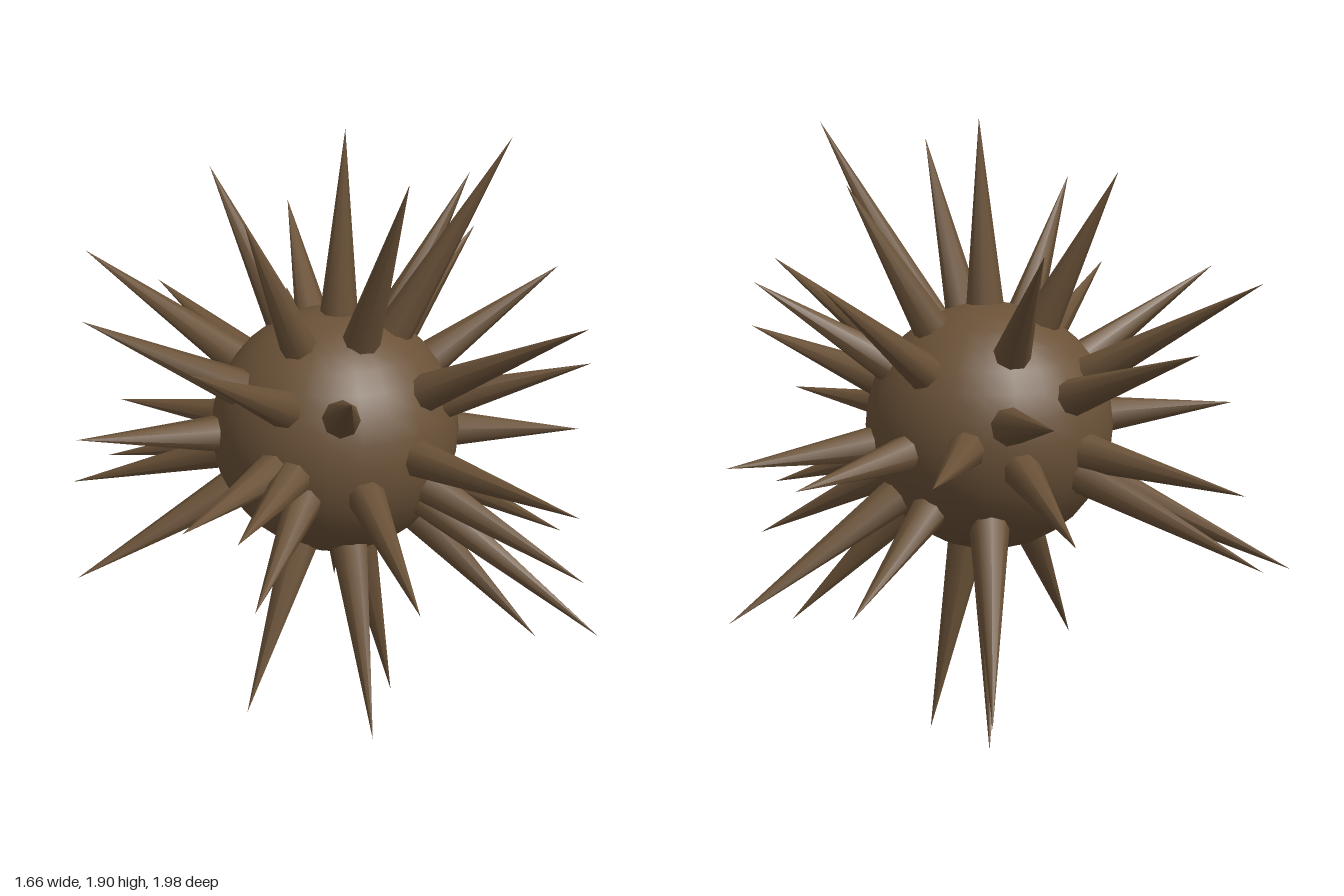
import * as THREE from 'three';

const CENTRE = new THREE.Vector3(-0.015, 0.955, -0.02);
const BODY_RADIUS = 0.385;

// Tip position of every spine
const TIPS = [
  // crown
  [0, 1.9, 0.01], [0.315, 1.89, 0.39], [-0.145, 1.83, 0.425], [-0.175, 1.745, -0.41],
  [0.455, 1.71, 0.09], [-0.465, 1.71, 0.09], [0.285, 1.53, -0.57],
  // upper ring
  [0.745, 1.44, -0.155], [0.635, 1.42, 0.31], [0.17, 1.435, 0.83], [-0.55, 1.33, 0.62],
  [-0.835, 1.4, 0.29], [-0.8, 1.42, -0.24], [-0.36, 1.43, -0.82], [0.39, 1.24, 0.66],
  [-0.03, 1.255, -0.87], [0.55, 1.11, -0.88],
  // middle ring
  [0.67, 0.92, -0.535], [0.8, 0.865, -0.095], [0.725, 0.86, 0.345], [-0.03, 0.965, 0.99],
  [-0.83, 0.915, 0.23], [-0.73, 0.89, 0.35], [-0.73, 0.995, -0.395],
  [-0.16, 0.845, -0.935], [0.395, 0.76, -0.81],
  // lower ring
  [-0.445, 0.73, 0.785], [-0.73, 0.705, 0.42], [0.15, 0.67, 0.87], [0.19, 0.495, 0.9],
  [-0.18, 0.63, -0.99], [-0.37, 0.6, -0.935], [-0.72, 0.52, -0.44],
  [0.635, 0.47, -0.14], [0.825, 0.425, 0.205], [0.36, 0.295, 0.51],
  // underside
  [0.48, 0.21, -0.57], [0.455, 0.135, -0.53], [-0.275, 0.135, 0.425],
  [-0.495, 0.18, 0.1], [0.17, 0.0, 0.05],
];

// Tapered cone from just inside the body to its tip
function makeSpine(tip, material) {
  const dir = new THREE.Vector3(...tip).sub(CENTRE);
  const reach = dir.length();
  dir.normalize();
  const base = 0.335;
  const geometry = new THREE.ConeGeometry(0.062, reach - base, 8, 1);
  geometry.translate(0, (reach + base) / 2, 0);
  const spine = new THREE.Mesh(geometry, material);
  spine.quaternion.setFromUnitVectors(new THREE.Vector3(0, 1, 0), dir);
  spine.position.copy(CENTRE);
  spine.name = 'spine';
  return spine;
}

export function createModel() {
  const model = new THREE.Group();
  model.name = 'spikyBall';
  const brown = new THREE.MeshStandardMaterial({ color: 0x6b5238 });
  brown.name = 'brown';

  // Round body
  const body = new THREE.Mesh(new THREE.SphereGeometry(BODY_RADIUS, 24, 16), brown);
  body.position.copy(CENTRE);
  body.name = 'body';
  model.add(body);

  // Spines radiating in all directions
  const spines = new THREE.Group();
  spines.name = 'spines';
  for (const tip of TIPS) spines.add(makeSpine(tip, brown));
  model.add(spines);
  return model;
}
